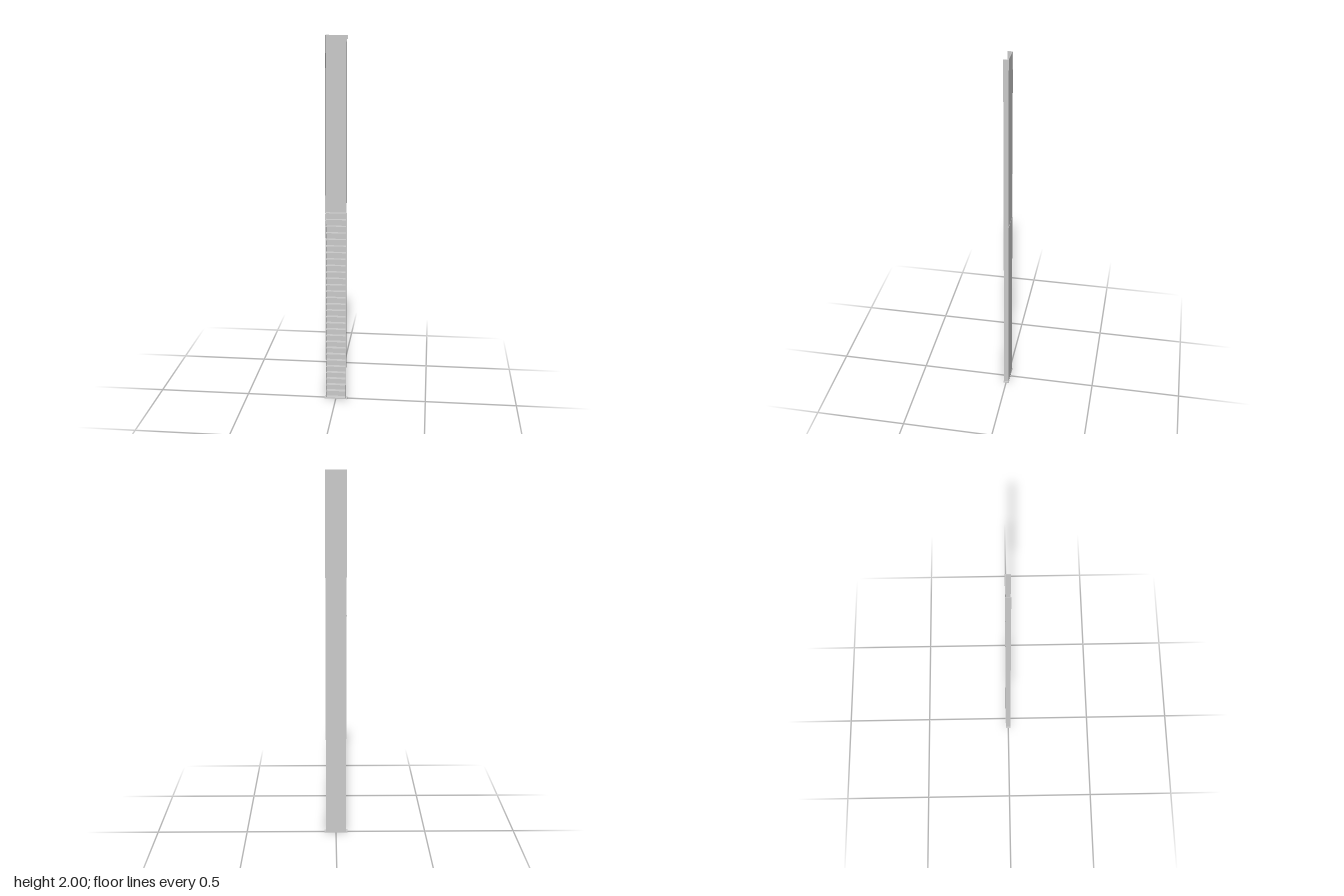
import * as THREE from 'three';

export function createModel() {
  const model = new THREE.Group();
  const material = new THREE.MeshStandardMaterial({ color: 0xcccccc, flatShading: true });

  const halfWidth = 0.056, wall = 0.002, back = -0.014, front = 0.013;
  const footHeight = 0.006, seamY = 1.07, top = 2;

  // Box given by its lower and upper corners
  function box(name, [x0, y0, z0], [x1, y1, z1], parent = model) {
    const mesh = new THREE.Mesh(new THREE.BoxGeometry(x1 - x0, y1 - y0, z1 - z0), material);
    mesh.position.set((x0 + x1) / 2, (y0 + y1) / 2, (z0 + z1) / 2);
    mesh.name = name;
    parent.add(mesh);
    return mesh;
  }

  // Foot plate, slightly wider than the channel
  box('footPlate', [-0.064, 0, -0.0155], [0.064, footHeight, 0.0155]);

  // Back panels, meeting at a small step
  const inner = halfWidth - wall;
  box('lowerBackPanel', [-inner, footHeight, back], [inner, seamY, back + wall]);
  box('upperBackPanel', [-inner, seamY, back + 0.001], [inner, top, back + 0.001 + wall]);

  // Side walls of the open-fronted channel
  for (const side of [-1, 1]) {
    const a = side * halfWidth, b = side * inner;
    box(side > 0 ? 'leftWall' : 'rightWall',
      [Math.min(a, b), footHeight, back], [Math.max(a, b), top, front]);
  }

  // Evenly spaced shelves across the lower half
  const shelves = new THREE.Group();
  shelves.name = 'shelves';
  model.add(shelves);
  const count = 29, lowest = 0.045, thickness = 0.004;
  const pitch = (seamY - lowest) / (count - 1);
  for (let i = 0; i < count; i++) {
    const y = lowest + i * pitch;
    box('shelf', [-inner, y - thickness, back + wall], [inner, y, front - 0.001], shelves);
  }

  return model;
}
